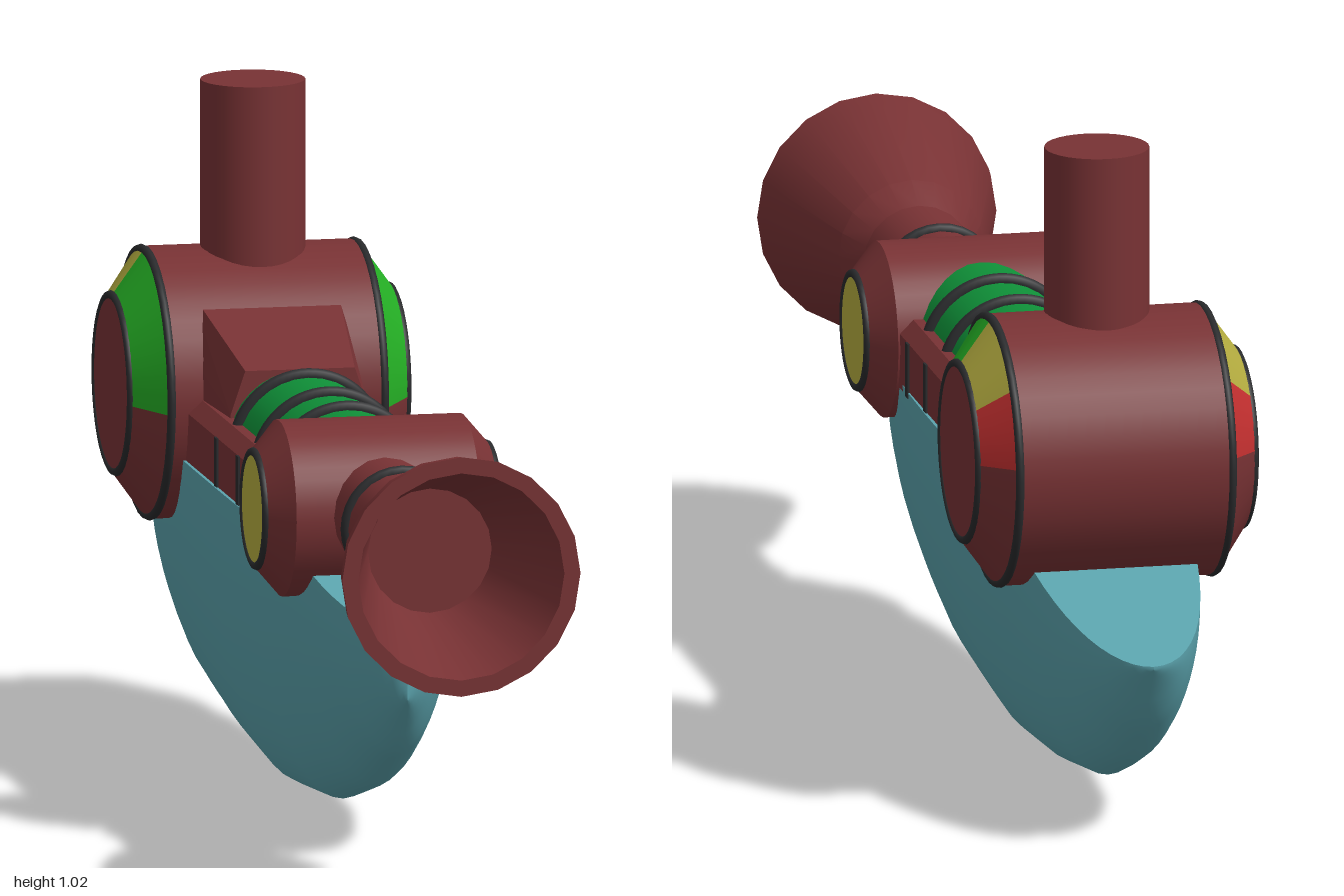
import * as THREE from 'three';
import { toCreasedNormals } from 'three/addons/utils/BufferGeometryUtils.js';
import { ConvexGeometry } from 'three/addons/geometries/ConvexGeometry.js';
import { ParametricGeometry } from 'three/addons/geometries/ParametricGeometry.js';

const material = (color) => new THREE.MeshStandardMaterial({ color });
const maroon = material(0x783234);
const teal = material(0x5ba3ad);
const green = material(0x0f9038);
const lime = material(0x25b025);
const yellow = material(0xb5ad40);
const red = material(0xc43030);
const dark = material(0x2a2b2d);

const AXIS = 0.525; // height of the barrel axis
const rad = THREE.MathUtils.degToRad;

// piecewise-linear lookup in [[z, value], ...] sorted by z
function sample(table, z) {
  for (let i = 1; i < table.length; i++) {
    const [z0, a] = table[i - 1], [z1, b] = table[i];
    if (z <= z1) return a + (b - a) * (z - z0) / (z1 - z0);
  }
  return table[table.length - 1][1];
}

export function createModel() {
  const model = new THREE.Group();
  const add = (name, geometry, mat, x = 0, y = 0, z = 0, parent = model) => {
    const mesh = new THREE.Mesh(geometry, mat);
    mesh.name = name;
    mesh.position.set(x, y, z);
    parent.add(mesh);
    return mesh;
  };

  // Keel-shaped blade: rounded hull under a flat deck
  const top = [[-1, 0.31], [-0.5, 0.47], [0.3, 0.47], [0.59, 0.37]];
  const bottom = [[-1, 0.305], [-0.93, 0.2], [-0.83, 0.12], [-0.68, 0.06], [-0.45, 0.024],
    [-0.2, 0.005], [0.1, 0.03], [0.34, 0.09], [0.5, 0.17], [0.59, 0.265]];
  const station = (v) => {
    const s = -Math.cos(v * Math.PI); // stations crowd towards both ends
    const z = -0.205 + 0.795 * s;
    return { z, w: 0.145 * Math.sqrt(Math.max(0, 1 - Math.abs(s) ** 3.5)), t: sample(top, z), b: sample(bottom, z) };
  };
  const hull = new ParametricGeometry((u, v, p) => {
    const { z, w, t, b } = station(v);
    const a = u * Math.PI, sn = Math.sin(a);
    p.set(-w * Math.cos(a), t - (t - b) * Math.pow(Math.max(sn, 0), 1.1), z);
  }, 28, 40);
  const deck = new ParametricGeometry((u, v, p) => {
    const { z, w, t } = station(v);
    p.set(w * (1 - 2 * u), t, z);
  }, 2, 40);
  hull.computeVertexNormals();
  deck.computeVertexNormals();
  add('bladeHull', hull, teal);
  add('bladeDeck', deck, teal);

  // Side rails under the tube
  const rail = new THREE.Shape([[-0.14, 0.46], [0.14, 0.46], [0.14, 0.545], [0.118, 0.565],
    [-0.118, 0.565], [-0.14, 0.545]].map(([x, y]) => new THREE.Vector2(x, y)));
  add('lowerBody', new THREE.ExtrudeGeometry(rail, { depth: 0.72, bevelEnabled: false }), maroon, 0, 0, -0.5);

  // Green tube with dark bands
  add('tube', new THREE.CylinderGeometry(0.11, 0.11, 0.47, 32).rotateX(Math.PI / 2), green, 0, AXIS, 0.005);
  for (const z of [0.12, -0.01, -0.175]) {
    add('tubeBand', new THREE.TorusGeometry(0.112, 0.011, 8, 32, Math.PI), dark, 0, AXIS, z);
    for (const s of [-1, 1])
      add('railBand', new THREE.BoxGeometry(0.008, 0.085, 0.018), dark, s * 0.139, 0.503, z);
  }

  // Sloped wedge joining the tube to the rear drum
  const wedge = [];
  for (const s of [-1, 1])
    for (const [x, y, z] of [[0.108, 0.47, -0.23], [0.108, 0.57, -0.23], [0.085, 0.637, -0.23],
      [0.122, 0.47, -0.5], [0.122, 0.63, -0.5], [0.113, 0.712, -0.5]])
      wedge.push(new THREE.Vector3(s * x, y, z));
  add('wedge', new ConvexGeometry(wedge), maroon);

  // Drum across x: barrel, chamfers split into coloured sectors, end caps and rims
  function drum(name, y, z, r, half, capR, capX, capMat, sectors) {
    const group = new THREE.Group();
    group.name = name;
    group.position.set(0, y, z);
    model.add(group);
    add(name + 'Barrel', new THREE.CylinderGeometry(r, r, half * 2, 40, 1, true).rotateZ(Math.PI / 2),
      maroon, 0, 0, 0, group);
    for (const s of [-1, 1]) {
      for (const [from, to, mat] of sectors) {
        // angles run from the front, over the top
        const start = s > 0 ? -rad(to) : rad(from);
        const cone = new THREE.CylinderGeometry(capR, r, capX - half, Math.ceil((to - from) / 9), 1, true,
          start, rad(to - from));
        add(name + 'Chamfer', cone.rotateZ(-s * Math.PI / 2), mat, s * (half + capX) / 2, 0, 0, group);
      }
      add(name + 'Cap', new THREE.CircleGeometry(capR, 40).rotateY(s * Math.PI / 2), capMat, s * capX, 0, 0, group);
      const rim = (radius, x) => add(name + 'Rim',
        new THREE.TorusGeometry(radius, 0.007, 8, 40).rotateY(Math.PI / 2), dark, s * x, 0, 0, group);
      rim(capR, capX - 0.004);
      if (sectors.length > 1) rim(r - 0.004, half);
    }
  }
  drum('rearDrum', 0.56, -0.6, 0.208, 0.165, 0.135, 0.218, maroon,
    [[-5, 90, lime], [90, 140, yellow], [140, 175, red], [175, 355, maroon]]);
  drum('frontDrum', 0.52, 0.312, 0.135, 0.143, 0.087, 0.184, yellow, [[0, 360, maroon]]);

  // Upright post on the rear drum
  add('post', new THREE.CylinderGeometry(0.08, 0.08, 0.345, 32), maroon, 0, 0.8525, -0.59);

  // Barrel pipe and flared, hollow muzzle
  const profile = [[0.085, 0.3], [0.085, 0.695], [0.113, 0.745], [0.18, 0.965], [0.185, 1],
    [0.16, 1], [0.096, 0.76], [0, 0.76]].map(([r, z]) => new THREE.Vector2(r, z));
  const muzzle = new THREE.LatheGeometry(profile, 20).rotateX(Math.PI / 2);
  add('muzzle', toCreasedNormals(muzzle, rad(20)), maroon, 0, AXIS, 0);
  add('muzzleRing', new THREE.TorusGeometry(0.085, 0.01, 8, 32), dark, 0, AXIS, 0.545);

  return model;
}
